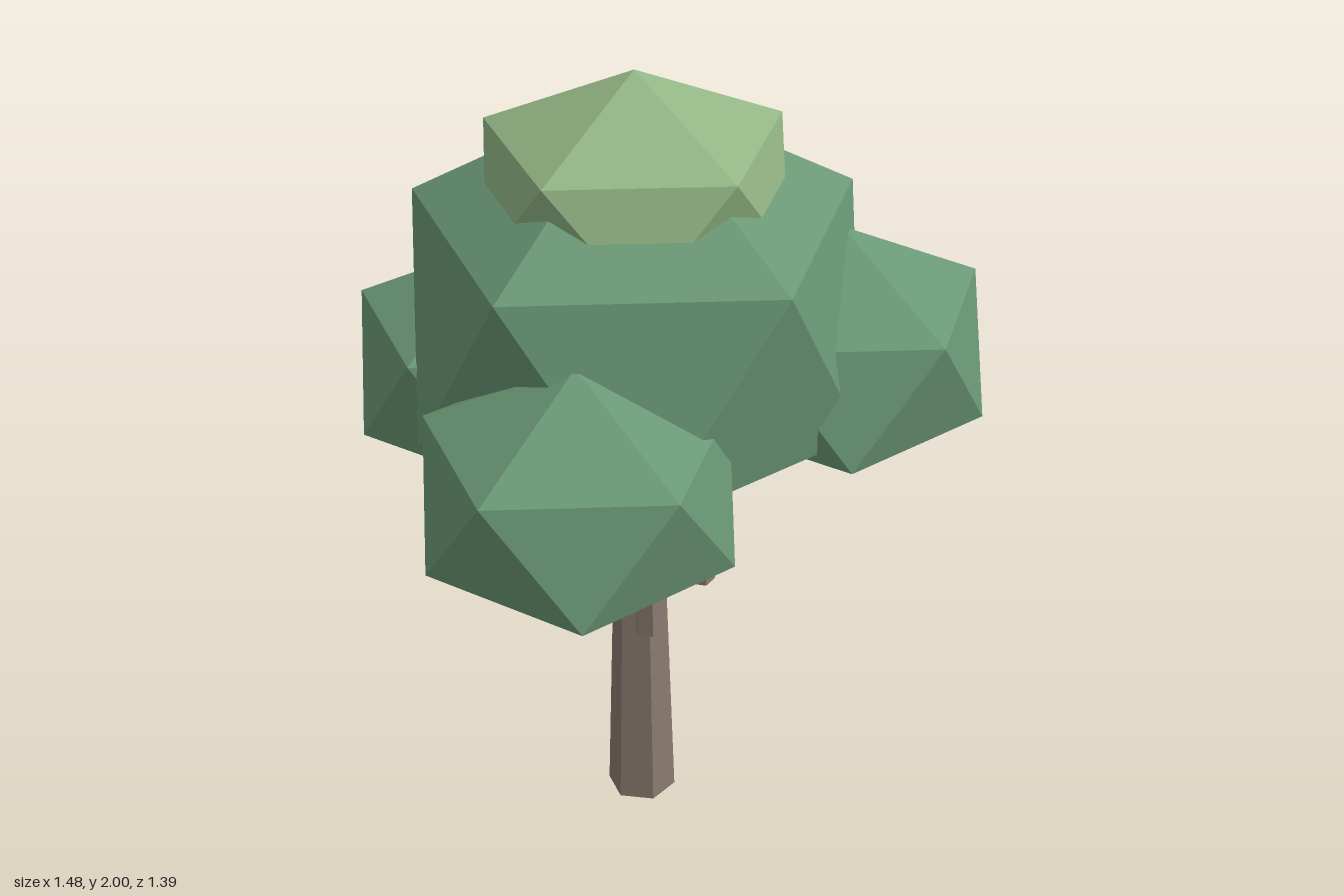
import * as THREE from 'three';

const leaf = new THREE.MeshStandardMaterial({ color: 0x6a9775, flatShading: true });
leaf.name = 'leaf green';
const lightLeaf = new THREE.MeshStandardMaterial({ color: 0x92b584, flatShading: true });
lightLeaf.name = 'light leaf green';
const bark = new THREE.MeshStandardMaterial({ color: 0x897a6e, flatShading: true });
bark.name = 'bark brown';

// Centre line of the tree
const CX = -0.1, CZ = -0.045;

// Twenty-sided leaf clump standing on one corner, squashed in height
function clump(name, material, x, y, z, radius, halfHeight) {
  const geometry = new THREE.IcosahedronGeometry(1, 0);
  geometry.rotateX(-Math.atan((1 + Math.sqrt(5)) / 2));
  geometry.rotateY(Math.PI / 2);
  geometry.scale(radius, halfHeight, radius);
  const mesh = new THREE.Mesh(geometry, material);
  mesh.name = name;
  mesh.position.set(x, y, z);
  return mesh;
}

// Tapered upright pole between two heights
function pole(name, x, z, bottom, top, rBottom, rTop, sides) {
  const geometry = new THREE.CylinderGeometry(rTop, rBottom, top - bottom, sides);
  const mesh = new THREE.Mesh(geometry, bark);
  mesh.name = name;
  mesh.position.set(x, (bottom + top) / 2, z);
  return mesh;
}

export function createModel() {
  const tree = new THREE.Group();
  tree.name = 'tree';

  tree.add(pole('trunk', CX, CZ, 0, 1.1, 0.087, 0.053, 6));

  // Three upright branches around the trunk
  [0, 1.8, 4].forEach((a, i) => {
    const x = CX + 0.165 * Math.cos(a), z = CZ + 0.165 * Math.sin(a);
    tree.add(pole('branch' + (i + 1), x, z, 0.6, 1.1, 0.036, 0.025, 5));
  });

  // Crown with its pale cap and three side clumps
  tree.add(
    clump('crown', leaf, CX, 1.393, CZ, 0.61, 0.565),
    clump('crownCap', lightLeaf, CX, 1.72, CZ, 0.403, 0.28),
    clump('leftClump', leaf, 0.38, 1.256, 0.045, 0.403, 0.318),
    clump('frontRightClump', leaf, -0.383, 1.19, 0.347, 0.403, 0.312),
    clump('backRightClump', leaf, -0.343, 1.157, -0.355, 0.403, 0.317),
  );
  return tree;
}
